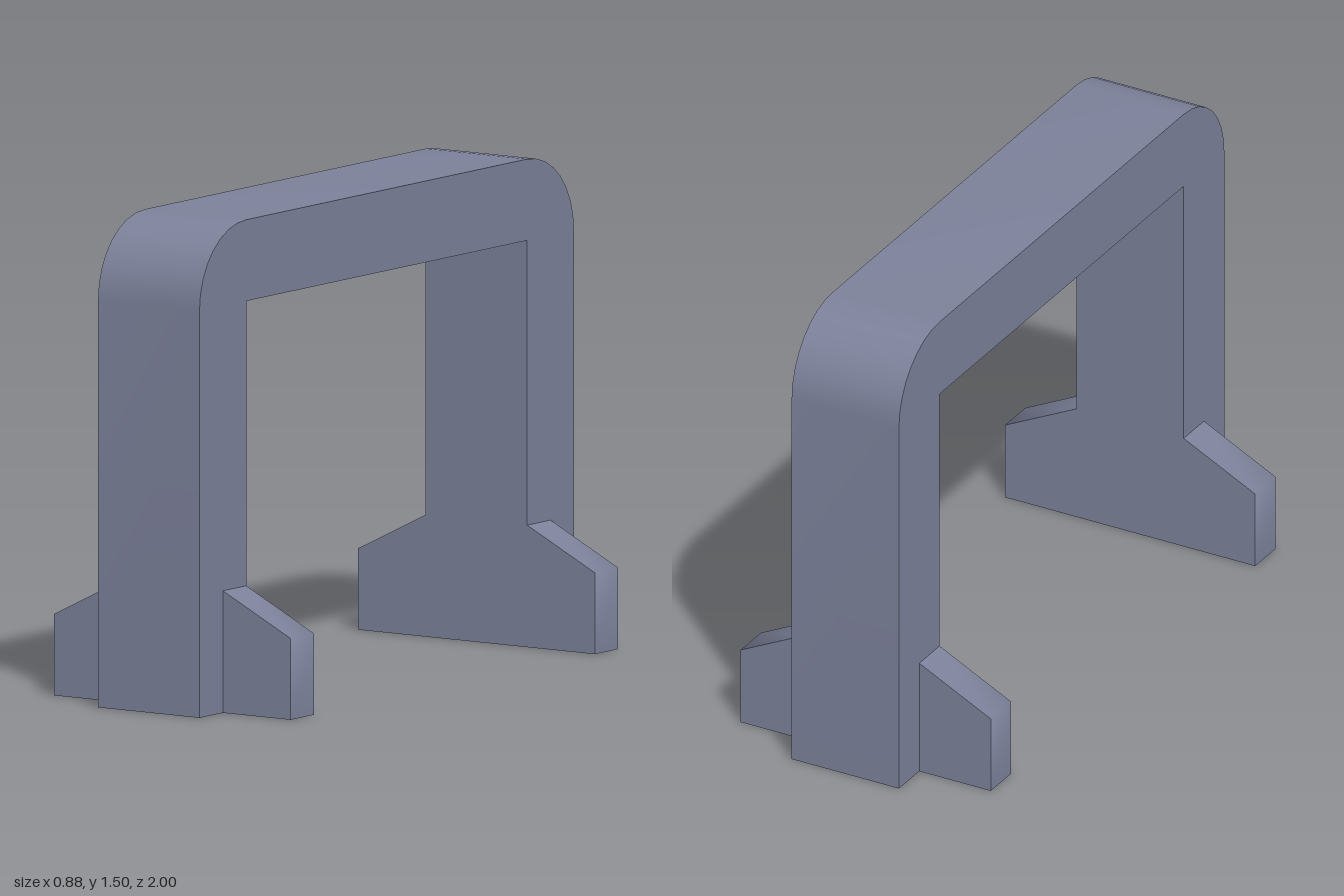
import * as THREE from 'three';
import { toCreasedNormals } from 'three/addons/utils/BufferGeometryUtils.js';

const CREASE = THREE.MathUtils.degToRad(70);

// Extrude a shape, centred on its depth, with soft bends and sharp right angles
function slab(shape, depth) {
  const geometry = new THREE.ExtrudeGeometry(shape, { depth, bevelEnabled: false, curveSegments: 4 });
  geometry.translate(0, 0, -depth / 2);
  return toCreasedNormals(geometry, CREASE);
}

export function createModel() {
  const group = new THREE.Group();
  group.name = 'bracket';
  const slate = new THREE.MeshStandardMaterial({ color: 0x7c819a });
  slate.name = 'slate grey';

  // Arch: rounded outer corners, square inner corners
  const outline = new THREE.Shape();
  outline.moveTo(1, 0);
  outline.lineTo(1, 1.25);
  outline.absarc(0.75, 1.25, 0.25, 0, Math.PI / 2, false);
  outline.lineTo(-0.75, 1.5);
  outline.absarc(-0.75, 1.25, 0.25, Math.PI / 2, Math.PI, false);
  outline.lineTo(-1, 0);
  outline.lineTo(-0.75, 0);
  outline.lineTo(-0.75, 1.25);
  outline.lineTo(0.75, 1.25);
  outline.lineTo(0.75, 0);
  outline.closePath();
  const arch = new THREE.Mesh(slab(outline, 0.375), slate);
  arch.name = 'arch';
  arch.rotation.y = -Math.PI / 2;
  group.add(arch);

  // Feet: sloped fins on both sides of each leg, flush with its inner face
  const profile = new THREE.Shape([
    new THREE.Vector2(0.1875, 0),
    new THREE.Vector2(0.4375, 0),
    new THREE.Vector2(0.4375, 0.25),
    new THREE.Vector2(0.1875, 0.375),
  ]);
  const finGeometry = slab(profile, 0.125);
  for (const end of [1, -1]) {
    for (const side of [1, -1]) {
      const fin = new THREE.Mesh(finGeometry, slate);
      fin.name = `${end > 0 ? 'front' : 'back'}${side > 0 ? 'Left' : 'Right'}Foot`;
      fin.position.z = end * 0.8125;
      fin.rotation.y = side > 0 ? 0 : Math.PI;
      group.add(fin);
    }
  }
  return group;
}
